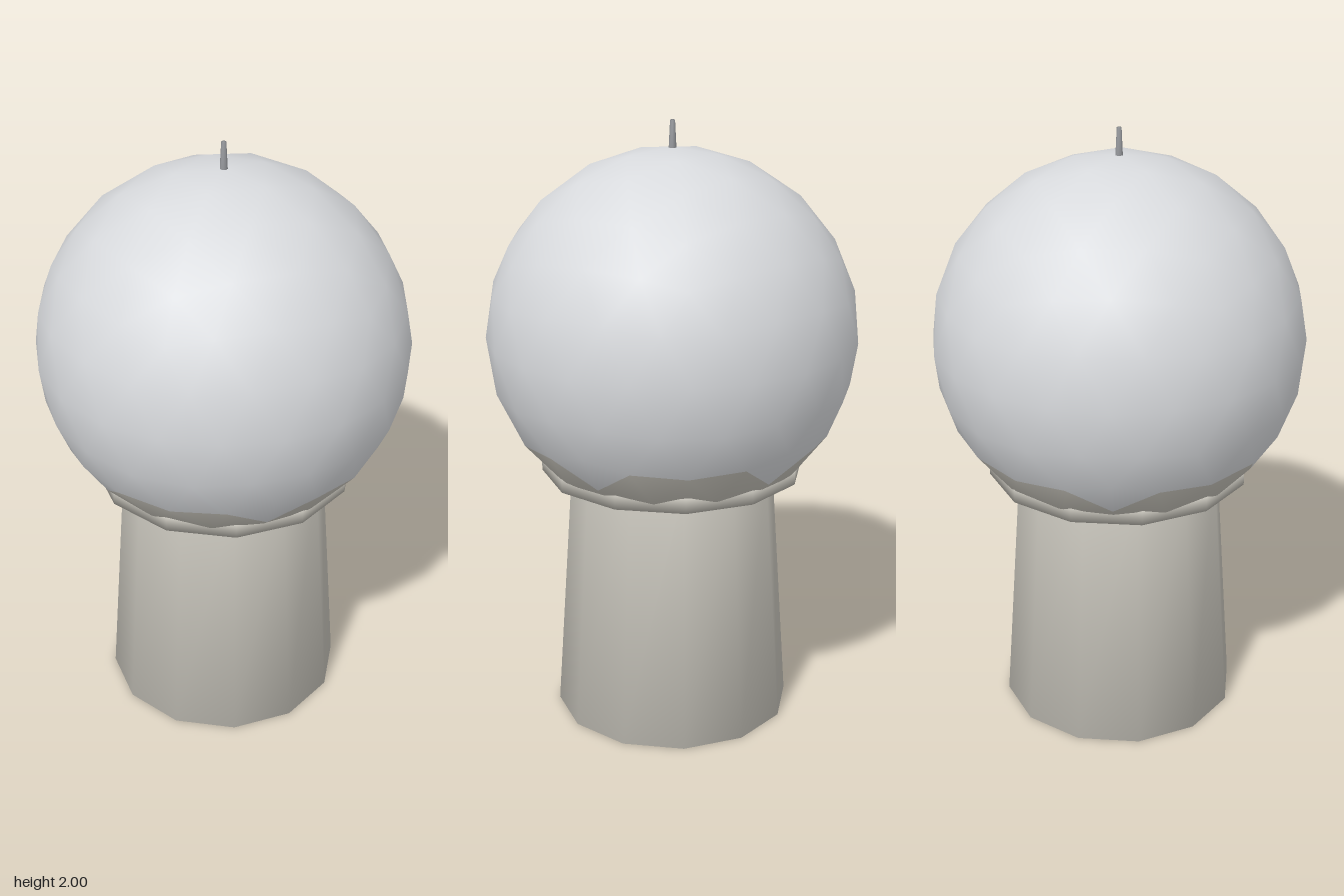
import * as THREE from 'three';
import { mergeVertices } from 'three/addons/utils/BufferGeometryUtils.js';

const material = (name, color) => {
  const m = new THREE.MeshStandardMaterial({ color });
  m.name = name;
  return m;
};

// Twelve-sided drum with normals shared across the rims
function softDrum(topR, bottomR, y0, y1, sides) {
  let g = new THREE.CylinderGeometry(topR, bottomR, y1 - y0, sides);
  g.deleteAttribute('uv');
  g.deleteAttribute('normal');
  g = mergeVertices(g);
  g.computeVertexNormals();
  return g.translate(0, (y0 + y1) / 2, 0);
}

// Icosphere standing on a vertex; faces centred below skirtY go in the second group
function domeGeometry(radius, centreY, skirtY) {
  const verts = [0, 1, 0, 0, -1, 0];
  const ring = Math.sqrt(0.8), h = Math.sqrt(0.2);
  for (let k = 0; k < 5; k++) {
    const a = (k * 2 * Math.PI) / 5, b = a + Math.PI / 5;
    verts.push(ring * Math.cos(a), h, ring * Math.sin(a));
    verts.push(ring * Math.cos(b), -h, ring * Math.sin(b));
  }
  const U = k => 2 + 2 * (k % 5), L = k => 3 + 2 * (k % 5);
  const faces = [];
  for (let k = 0; k < 5; k++) {
    faces.push(0, U(k + 1), U(k));
    faces.push(U(k), U(k + 1), L(k));
    faces.push(L(k + 1), L(k), U(k + 1));
    faces.push(L(k), L(k + 1), 1);
  }
  const g = new THREE.PolyhedronGeometry(verts, faces, radius, 3);
  g.translate(0, centreY, 0);

  const p = g.attributes.position, shell = [], skirt = [];
  for (let i = 0; i < p.count; i += 3) {
    const y = (p.getY(i) + p.getY(i + 1) + p.getY(i + 2)) / 3;
    (y < skirtY ? skirt : shell).push(i, i + 1, i + 2);
  }
  g.setIndex([...shell, ...skirt]);
  g.addGroup(0, shell.length, 0);
  g.addGroup(shell.length, skirt.length, 1);
  return g;
}

export function createModel() {
  const model = new THREE.Group();
  model.name = 'radarDomeTower';
  const white = material('domeWhite', 0xd8dadd);
  const stone = material('towerStone', 0xc3c0b7);
  const metal = material('rodMetal', 0x9a9ca0);

  const add = (name, geometry, mat) => {
    const mesh = new THREE.Mesh(geometry, mat);
    mesh.name = name;
    model.add(mesh);
  };

  add('tower', softDrum(0.335, 0.395, 0, 0.88, 12), stone);
  add('collar', softDrum(0.435, 0.435, 0.85, 0.9, 12), stone);
  add('dome', domeGeometry(0.605, 1.31, 0.97), [white, stone]);
  add('lightningRod', softDrum(0.008, 0.013, 1.9, 2, 8), metal);

  return model;
}
